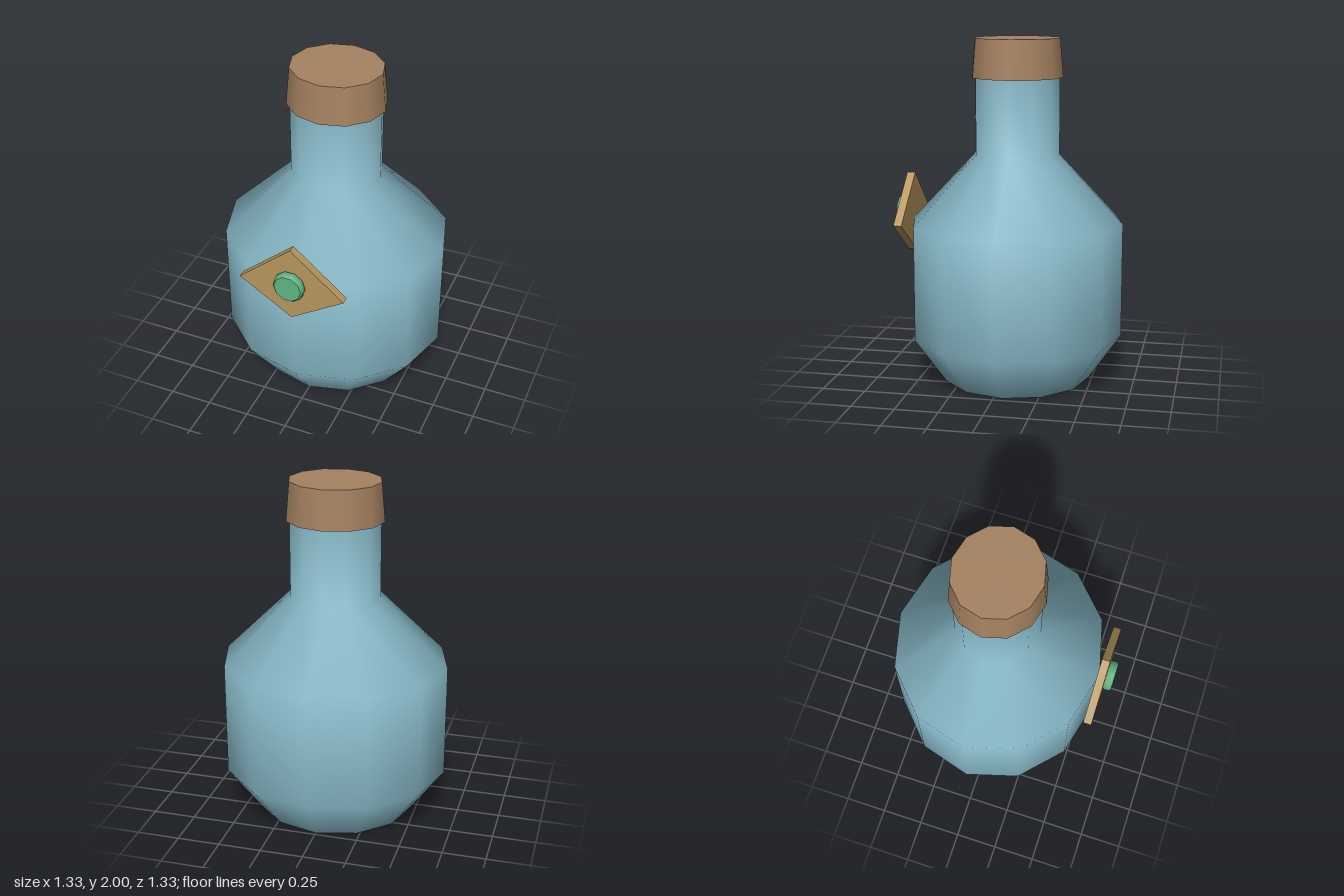
import * as THREE from 'three';

const paint = (name, color) => {
  const m = new THREE.MeshStandardMaterial({ color });
  m.name = name;
  return m;
};

export function createModel() {
  const glass = paint('blue glass', 0x88bac9);
  const cork = paint('brown cork', 0xa58261);
  const gold = paint('gold plate', 0xb8965e);
  const green = paint('green gem', 0x5fb583);

  const model = new THREE.Group();
  model.name = 'bottle';
  const add = (parent, name, geometry, material, x = 0, y = 0, z = 0) => {
    const mesh = new THREE.Mesh(geometry, material);
    mesh.name = name;
    mesh.position.set(x, y, z);
    parent.add(mesh);
    return mesh;
  };
  const profile = (pts) => pts.map(([r, y]) => new THREE.Vector2(r, y));

  // Twelve-sided vessel, slightly flattened front to back
  const vessel = new THREE.Group();
  vessel.name = 'vessel';
  vessel.position.z = -0.046;
  vessel.scale.z = 0.933;
  model.add(vessel);
  const wall = profile([[0.467, 0], [0.667, 0.267], [0.667, 0.935], [0.267, 1.333], [0.267, 1.85]]);
  add(vessel, 'glassBody', new THREE.LatheGeometry(wall, 12), glass);
  const base = profile([[0, 0], [0.467, 0]]);
  add(vessel, 'glassBase', new THREE.LatheGeometry(base, 12), glass);

  // Stopper capping the neck
  add(vessel, 'stopper', new THREE.CylinderGeometry(0.267, 0.287, 0.225, 12), cork, 0, 1.8875, 0);

  // Diamond-shaped plate on the front
  const diamond = new THREE.Shape(profile([[0, 0.737], [0.313, 0.937], [0, 1.203], [-0.313, 0.937]]));
  const plate = new THREE.ExtrudeGeometry(diamond, { depth: 0.048, bevelEnabled: false });
  add(model, 'diamondPlate', plate, gold, 0, 0, 0.57);

  // Ten-sided gem with softened rim and flat face
  const gem = new THREE.Group();
  gem.name = 'gem';
  gem.position.set(0, 0.972, 0.616);
  gem.rotation.x = Math.PI / 2;
  model.add(gem);
  const rim = profile([[0.08, 0], [0.092, 0.01], [0.092, 0.038], [0.08, 0.05]]);
  add(gem, 'gemRim', new THREE.LatheGeometry(rim, 10, Math.PI / 2), green);
  const face = profile([[0.08, 0.05], [0, 0.05]]);
  add(gem, 'gemFace', new THREE.LatheGeometry(face, 10, Math.PI / 2), green);

  return model;
}
